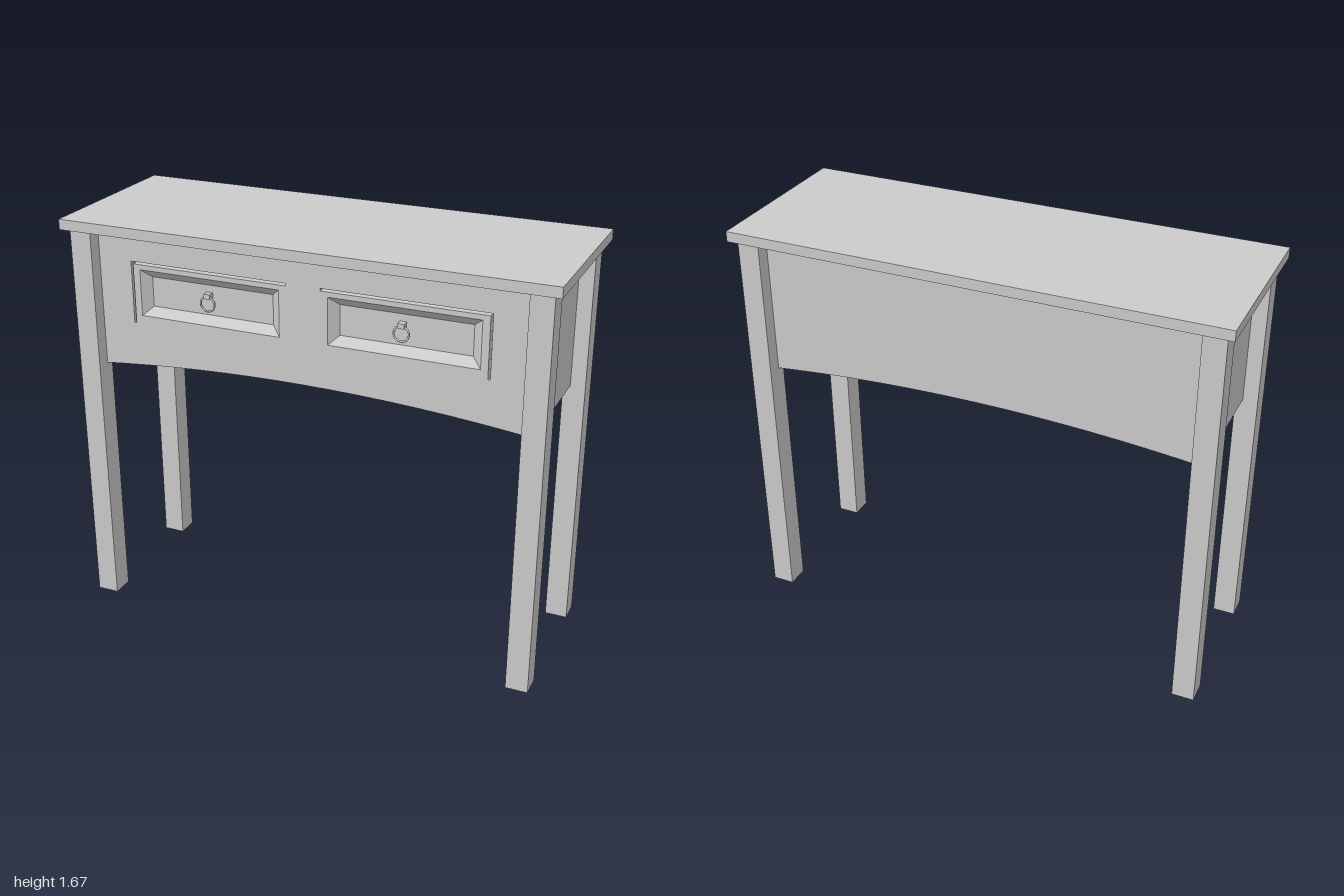
import * as THREE from 'three';

const material = new THREE.MeshStandardMaterial({ color: 0xcccccc });
const FLOOR_Z = 0.25, FRONT_Z = 0.28, HALF_X = 0.91, BODY_TOP = 1.63;

function add(parent, name, geometry, x = 0, y = 0, z = 0) {
  const mesh = new THREE.Mesh(geometry, material);
  mesh.name = name;
  mesh.position.set(x, y, z);
  parent.add(mesh);
  return mesh;
}

// Apron outline with a shallow arch along its lower edge
function apronShape() {
  const shape = new THREE.Shape();
  shape.moveTo(HALF_X, BODY_TOP);
  shape.lineTo(-HALF_X, BODY_TOP);
  const n = 16;
  for (let i = 0; i <= n; i++) {
    const x = -HALF_X + (2 * HALF_X * i) / n;
    shape.lineTo(x, 1.11 - 0.053 * (x / HALF_X) ** 2);
  }
  shape.closePath();
  return shape;
}

const extrude = (shape, depth) => new THREE.ExtrudeGeometry(shape, { depth, bevelEnabled: false });

const pathOf = (points) => new THREE.Path(points.map(([x, y]) => new THREE.Vector2(x, y)));

// Corners of a rectangle, counter-clockwise from the front
const rect = (cx, cy, hx, hy) => [[cx - hx, cy - hy], [cx + hx, cy - hy], [cx + hx, cy + hy], [cx - hx, cy + hy]];

// Four sloping faces running from an outer rectangle back to an inner one
function slopedFrame(outer, inner) {
  const positions = [];
  for (let i = 0; i < 4; i++) {
    const j = (i + 1) % 4;
    const a = [...outer[i], FRONT_Z], b = [...outer[j], FRONT_Z];
    const c = [...inner[j], FLOOR_Z], d = [...inner[i], FLOOR_Z];
    positions.push(...a, ...b, ...c, ...a, ...c, ...d);
  }
  const geometry = new THREE.BufferGeometry();
  geometry.setAttribute('position', new THREE.Float32BufferAttribute(positions, 3));
  geometry.computeVertexNormals();
  return geometry;
}

export function createModel() {
  const model = new THREE.Group();
  model.name = 'consoleTable';

  add(model, 'tableTop', new THREE.BoxGeometry(2, 0.042, 0.73), 0, 1.65, 0);

  // Legs
  for (const sx of [-1, 1]) {
    for (const sz of [-1, 1]) {
      add(model, sz > 0 ? 'frontLeg' : 'backLeg',
        new THREE.BoxGeometry(0.09, BODY_TOP, 0.093), sx * 0.925, BODY_TOP / 2, sz * 0.2915);
    }
  }

  // Solid body behind the drawer fronts
  add(model, 'body', extrude(apronShape(), FLOOR_Z + FRONT_Z), 0, 0, -FRONT_Z);

  // Front panel, cut for the drawer recesses and the gaps around them
  const panel = apronShape();
  for (const s of [-1, 1]) {
    const drawer = new THREE.Group();
    drawer.name = s > 0 ? 'leftDrawer' : 'rightDrawer';
    model.add(drawer);

    const outer = rect(s * 0.4, 1.385, 0.3, 0.095);
    const inner = rect(s * 0.4, 1.386, 0.262, 0.061);
    panel.holes.push(pathOf(outer));
    panel.holes.push(pathOf([
      [s * 0.07, 1.5], [s * 0.07, 1.51], [s * 0.738, 1.51],
      [s * 0.738, 1.255], [s * 0.729, 1.255], [s * 0.729, 1.5],
    ]));
    add(drawer, 'drawerBevel', slopedFrame(outer, inner));

    // Ring pull
    const x = s * 0.4 - 0.01;
    add(drawer, 'handleMount', new THREE.BoxGeometry(0.026, 0.02, 0.028), x, 1.408, FLOOR_Z + 0.014);
    add(drawer, 'handleRing', new THREE.TorusGeometry(0.03, 0.004, 8, 28), x, 1.376, 0.27);
  }
  add(model, 'frontPanel', extrude(panel, FRONT_Z - FLOOR_Z), 0, 0, FLOOR_Z);

  return model;
}
